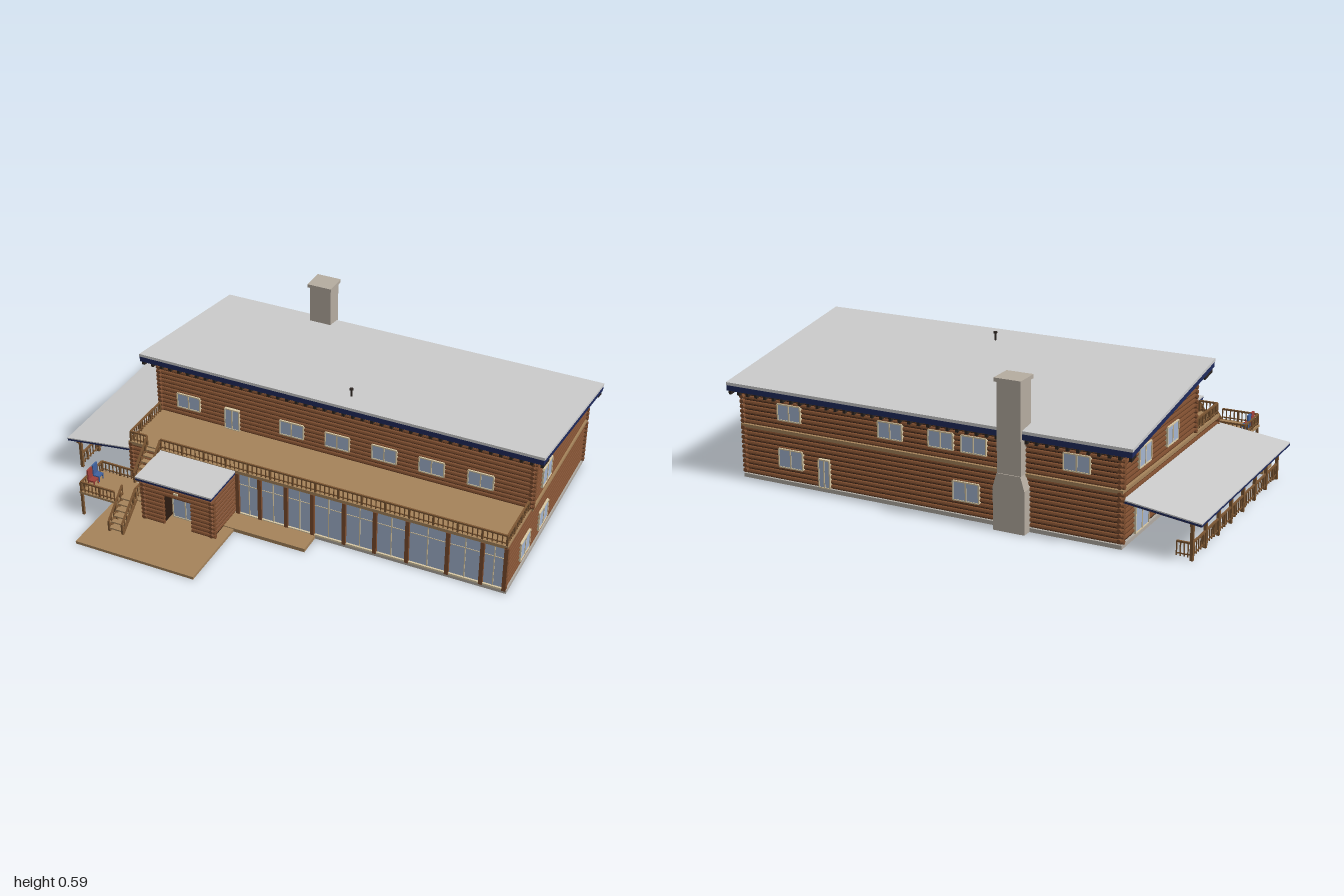
import * as THREE from 'three';

const C = { log: 0x7a4b2d, gap: 0x2a1a10, deck: 0xa5835a, rail: 0x7d5733, glass: 0xa3b4cf, frame: 0xd8c8a4,
  navy: 0x1f2a5c, roof: 0xdcdde0, stone: 0xb5aca0, base: 0xb0aaa2, dark: 0x2b2420, red: 0xa04038, blue: 0x3f62a0 };
const mats = {};
const mat = c => (mats[c] ??= new THREE.MeshStandardMaterial({ color: c, flatShading: true }));

function add(parent, name, geo, color) {
  const m = new THREE.Mesh(geo, mat(color));
  m.name = name;
  parent.add(m);
  return m;
}
function group(parent, name) {
  const g = new THREE.Group();
  g.name = name;
  parent.add(g);
  return g;
}
// box given by its limits
function box(p, name, x0, x1, y0, y1, z0, z1, color) {
  const m = add(p, name, new THREE.BoxGeometry(x1 - x0, y1 - y0, z1 - z0), color);
  m.position.set((x0 + x1) / 2, (y0 + y1) / 2, (z0 + z1) / 2);
  return m;
}
// square bar between two points
function bar(p, name, a, b, t, color) {
  const A = new THREE.Vector3(...a), B = new THREE.Vector3(...b);
  const m = add(p, name, new THREE.BoxGeometry(t, t, A.distanceTo(B)), color);
  m.position.copy(A).add(B).multiplyScalar(0.5);
  m.lookAt(B);
  return m;
}
// z-y outline extruded along x
function prism(p, name, pts, x0, x1, color) {
  const geo = new THREE.ExtrudeGeometry(new THREE.Shape(pts.map(q => new THREE.Vector2(...q))),
    { depth: x1 - x0, bevelEnabled: false });
  return add(p, name, geo.rotateY(-Math.PI / 2).translate(x1, 0, 0), color);
}
const R = 0.0088, STEP = 0.02;
function logX(p, x0, x1, y, z) {
  add(p, 'log', new THREE.CylinderGeometry(R, R, x1 - x0, 8).rotateZ(Math.PI / 2), C.log).position.set((x0 + x1) / 2, y, z);
}
function logZ(p, z0, z1, y, x) {
  add(p, 'log', new THREE.CylinderGeometry(R, R, z1 - z0, 8).rotateX(Math.PI / 2), C.log).position.set(x, y, (z0 + z1) / 2);
}
// framed window or door, turned to face out of its wall
function pane(p, name, x, y, z, w, h, turn = 0) {
  const g = group(p, name), t = 0.005;
  box(g, 'glass', -w / 2, w / 2, -h / 2, h / 2, -0.01, 0.011, C.glass);
  for (const s of [-1, 0, 1]) box(g, 'upright', s * w / 2 - t / 2, s * w / 2 + t / 2, -h / 2, h / 2, -0.01, 0.014, C.frame);
  for (const s of [-1, 1]) box(g, 'crosspiece', -w / 2, w / 2, s * h / 2 - t / 2, s * h / 2 + t / 2, -0.01, 0.014, C.frame);
  g.position.set(x, y, z);
  g.rotation.y = turn;
}
// handrail with balusters; a and b are points on the floor line
function railing(p, a, b, n, h = 0.045) {
  const g = group(p, 'railing');
  const up = (q, d) => [q[0], q[1] + d, q[2]];
  bar(g, 'handrail', up(a, h), up(b, h), 0.007, C.rail);
  bar(g, 'lowerRail', up(a, 0.01), up(b, 0.01), 0.004, C.rail);
  for (let i = 0; i <= n; i++) {
    const q = a.map((v, k) => v + (b[k] - v) * i / n), t = i % 5 ? 0.002 : 0.004;
    box(g, 'baluster', q[0] - t, q[0] + t, q[1], q[1] + h, q[2] - t, q[2] + t, C.rail);
  }
}

const X0 = -0.69, X1 = 0.94, ZB = -0.67, ZL = 0.27, ZU = 0.02;
const under = z => 0.485 + (z - 0.085) * 0.155; // underside of the main roof

function walls(house) {
  const w = group(house, 'logWalls');
  box(w, 'foundation', -0.7, 0.95, 0, 0.016, -0.68, 0.285, C.base);
  box(w, 'lowerCore', X0, X1, 0.016, 0.215, ZB, ZL, C.gap);
  prism(w, 'upperCore', [[ZB, 0.215], [ZU, 0.215], [ZU, under(ZU)], [ZB, under(ZB)]], X0, X1, C.gap);
  for (let y = 0.026; y < 0.21; y += STEP) {
    logX(w, X0 - 0.016, X1 + 0.016, y, ZB);
    logX(w, X0 - 0.016, -0.2, y, ZL);
    for (const x of [X0, X1]) logZ(w, ZB - 0.016, ZL + 0.016, y + 0.005, x);
  }
  for (let y = 0.235; y < under(ZU); y += STEP) {
    logX(w, X0 - 0.016, X1 + 0.016, y, ZU);
    if (y < under(ZB)) logX(w, X0 - 0.016, X1 + 0.016, y, ZB);
    // gable logs stop where they meet the sloping roof
    const zMin = Math.max(ZB - 0.016, 0.085 + (y + R - 0.485) / 0.155);
    if (zMin < ZU) for (const x of [X0, X1]) logZ(w, zMin, ZU + 0.016, y + 0.003, x);
  }
  box(w, 'floorBand', X0 - 0.012, X1 + 0.012, 0.213, 0.226, ZB - 0.012, ZU, C.deck);
}

function openings(house) {
  const g = group(house, 'openings'), zf = ZU, H = Math.PI / 2;
  for (const x of [-0.555, -0.08, 0.123, 0.328, 0.53, 0.735]) pane(g, 'frontWindow', x, 0.303, zf, 0.105, 0.065);
  pane(g, 'balconyDoor', -0.353, 0.275, zf, 0.065, 0.095);
  for (const [z, y] of [[0.083, 0.093], [-0.135, 0.093], [-0.135, 0.303]]) pane(g, 'sideWindow', X1, y, z, 0.107, 0.084, H);
  for (const z of [-0.48, -0.22]) pane(g, 'sideWindow', X0, 0.3, z, 0.107, 0.075, -H);
  for (const z of [-0.5, -0.2, 0.1]) pane(g, 'sideDoor', X0, 0.085, z, 0.12, 0.13, -H);
  for (const x of [0.72, 0.26, 0.04, -0.1, -0.52]) pane(g, 'backWindow', x, 0.3, ZB, 0.105, 0.065, Math.PI);
  for (const x of [0.72, -0.065]) pane(g, 'backWindow', x, 0.11, ZB, 0.11, 0.075, Math.PI);
  pane(g, 'backDoor', 0.565, 0.075, ZB, 0.05, 0.115, Math.PI);
  // glazed ground floor front
  box(g, 'glassFront', -0.21, 0.935, 0.018, 0.213, ZL - 0.01, 0.277, C.glass);
  box(g, 'sill', -0.21, 0.94, 0.012, 0.02, ZL, 0.285, C.frame);
  box(g, 'transom', -0.21, 0.94, 0.158, 0.161, ZL, 0.279, C.frame);
  const posts = [-0.2, -0.1, 0.017, 0.133, 0.27, 0.402, 0.538, 0.705, 0.845, 0.94];
  posts.forEach((x, i) => {
    box(g, 'frontPost', x - 0.008, x + 0.008, 0.012, 0.213, ZL, 0.288, C.log);
    if (i) {
      const m = (x + posts[i - 1]) / 2;
      box(g, 'mullion', m - 0.002, m + 0.002, 0.018, 0.213, ZL, 0.28, C.frame);
    }
  });
}

function roofs(house) {
  const g = group(house, 'mainRoof');
  const band = (lo, hi) => [[-0.705, under(-0.705) + lo], [0.085, under(0.085) + lo], [0.085, under(0.085) + hi], [-0.705, under(-0.705) + hi]];
  prism(g, 'roofDeck', band(0, 0.022), -0.745, 0.995, C.navy);
  prism(g, 'roofCover', band(0.022, 0.034), -0.747, 0.997, C.roof);
  for (let i = 0; i <= 42; i++) {
    const x = -0.735 + i * 1.72 / 42;
    for (const [a, b] of [[0.0, 0.075], [-0.698, -0.66]])
      prism(g, 'rafter', [[a, under(a) - 0.018], [b, under(b) - 0.018], [b, under(b)], [a, under(a)]], x - 0.006, x + 0.006, C.dark);
  }
  add(g, 'ventPipe', new THREE.CylinderGeometry(0.004, 0.004, 0.04, 8), C.dark).position.set(0.16, 0.515, -0.02);
  add(g, 'ventCap', new THREE.CylinderGeometry(0.008, 0.008, 0.007, 8), C.dark).position.set(0.16, 0.535, -0.02);

  // chimney: wide base, tapered shoulder, shaft and cap
  const c = group(house, 'chimney'), cx = -0.265;
  box(c, 'chimneyBase', cx - 0.065, cx + 0.065, 0, 0.17, -0.72, -0.635, C.stone);
  const sh = new THREE.Shape([[-0.065, 0.17], [0.065, 0.17], [0.049, 0.225], [-0.049, 0.225]].map(q => new THREE.Vector2(...q)));
  add(c, 'chimneyShoulder', new THREE.ExtrudeGeometry(sh, { depth: 0.085, bevelEnabled: false }), C.stone).position.set(cx, 0, -0.72);
  box(c, 'chimneyShaft', cx - 0.049, cx + 0.049, 0.225, 0.575, -0.716, -0.635, C.stone);
  box(c, 'chimneyCap', cx - 0.055, cx + 0.055, 0.575, 0.59, -0.727, -0.625, C.stone);
}

function sideCanopy(house) {
  const g = group(house, 'sideCanopy');
  const slab = (name, lo, hi, color) => {
    const s = new THREE.Shape([[-1, 0.14 + lo], [-0.7, 0.178 + lo], [-0.7, 0.178 + hi], [-1, 0.14 + hi]].map(q => new THREE.Vector2(...q)));
    add(g, name, new THREE.ExtrudeGeometry(s, { depth: 0.96, bevelEnabled: false }), color).position.z = -0.675;
  };
  slab('canopyDeck', 0, 0.008, C.navy);
  slab('canopyCover', 0.008, 0.013, C.roof);
  bar(g, 'canopyBeam', [-0.958, 0.137, -0.665], [-0.958, 0.137, 0.275], 0.012, C.rail);
  for (let i = 0; i < 8; i++) {
    const z = -0.655 + i * 0.13;
    box(g, 'canopyPost', -0.964, -0.952, 0, 0.14, z - 0.006, z + 0.006, C.rail);
    bar(g, 'canopyRafter', [-0.99, 0.137, z], [-0.7, 0.174, z], 0.008, C.rail);
  }
  railing(g, [-0.958, 0.01, -0.655], [-0.958, 0.01, 0.255], 42, 0.055);
  railing(g, [-0.958, 0.01, -0.655], [-0.9, 0.01, -0.655], 4, 0.055);
}

function entrance(house) {
  const g = group(house, 'entrance'), a = -0.52, b = -0.215, l = -0.44, r = -0.3, top = 0.165;
  // walls around a recessed porch
  box(g, 'leftCore', a, l, 0.012, 0.205, 0.27, 0.47, C.gap);
  box(g, 'rightCore', r, b, 0.012, 0.205, 0.27, 0.47, C.gap);
  box(g, 'lintelCore', l, r, top, 0.205, 0.27, 0.47, C.gap);
  box(g, 'porchBack', l, r, 0.012, top, 0.27, 0.4, C.log);
  pane(g, 'entranceDoor', -0.37, 0.07, 0.4, 0.115, 0.11);
  box(g, 'porchLamp', -0.38, -0.36, 0.182, 0.19, 0.47, 0.485, C.frame);
  for (let y = 0.026; y < 0.205; y += STEP) {
    for (const x of [a, b]) logZ(g, 0.27, 0.488, y + 0.005, x);
    if (y > top) logX(g, a - 0.015, b + 0.015, y, 0.473);
    else {
      logX(g, a - 0.015, l + 0.008, y, 0.473);
      logX(g, r - 0.008, b + 0.015, y, 0.473);
    }
  }
  box(g, 'entranceRoofDeck', -0.55, -0.207, 0.207, 0.216, 0.282, 0.49, C.navy);
  box(g, 'entranceRoofCover', -0.55, -0.207, 0.216, 0.223, 0.282, 0.49, C.roof);
}

function decks(house) {
  const g = group(house, 'decks');
  box(g, 'frontDeck', -0.7, -0.17, 0, 0.012, 0.28, 0.72, C.deck);
  box(g, 'deckStrip', -0.895, 0.145, 0, 0.016, 0.28, 0.383, C.deck);
  box(g, 'balconyFloor', -0.7, 0.945, 0.212, 0.226, ZU, 0.285, C.deck);
  railing(g, [-0.55, 0.226, 0.279], [0.938, 0.226, 0.279], 75);
  railing(g, [-0.69, 0.226, 0.279], [-0.615, 0.226, 0.279], 5);
  railing(g, [0.938, 0.226, 0.279], [0.938, 0.226, 0.04], 15);
  railing(g, [-0.69, 0.226, 0.279], [-0.69, 0.226, 0.04], 15);

  // two flights of stairs with a landing between
  const s = group(house, 'stairs'), xa = -0.613, xb = -0.552, yl = 0.115;
  for (const [z0, y0, z1, y1] of [[0.605, 0.015, 0.49, yl], [0.395, yl, 0.28, 0.22]]) {
    for (let i = 1; i <= 6; i++) {
      const t = i / 6, z = z0 + (z1 - z0) * t, y = y0 + (y1 - y0) * t;
      box(s, 'tread', xa, xb, y - 0.006, y, z, z + 0.022, C.deck);
    }
    for (const x of [xa, xb]) {
      bar(s, 'stringer', [x, y0 - 0.002, z0], [x, y1 - 0.008, z1], 0.009, C.rail);
      railing(s, [x, y0, z0], [x, y1, z1], 6, 0.048);
    }
  }
  box(s, 'landing', xa, xb, yl - 0.01, yl, 0.392, 0.495, C.deck);
  railing(s, [xb, yl, 0.395], [xb, yl, 0.49], 5, 0.048);

  // raised seating platform
  const p = group(house, 'platform');
  box(p, 'platformFloor', -0.782, xa, yl - 0.01, yl, 0.375, 0.545, C.deck);
  for (const x of [-0.775, -0.62]) for (const z of [0.382, 0.538]) box(p, 'platformPost', x - 0.005, x + 0.005, 0, yl, z - 0.005, z + 0.005, C.rail);
  railing(p, [-0.775, yl, 0.54], [-0.62, yl, 0.54], 9);
  railing(p, [-0.775, yl, 0.38], [-0.62, yl, 0.38], 9);
  railing(p, [-0.775, yl, 0.38], [-0.775, yl, 0.54], 9);
  for (const [z, color] of [[0.44, C.blue], [0.478, C.red]]) {
    const c = group(p, 'chair');
    box(c, 'chairSeat', -0.772, -0.742, 0.135, 0.142, z - 0.016, z + 0.016, color);
    box(c, 'chairBack', -0.775, -0.768, 0.135, 0.188, z - 0.016, z + 0.016, color);
    for (const x of [-0.77, -0.744]) for (const d of [-0.014, 0.014]) box(c, 'chairLeg', x - 0.002, x + 0.002, yl, 0.136, z + d - 0.002, z + d + 0.002, color);
  }
}

export function createModel() {
  const house = new THREE.Group();
  house.name = 'logHouse';
  for (const build of [walls, openings, roofs, sideCanopy, entrance, decks]) build(house);
  return house;
}
